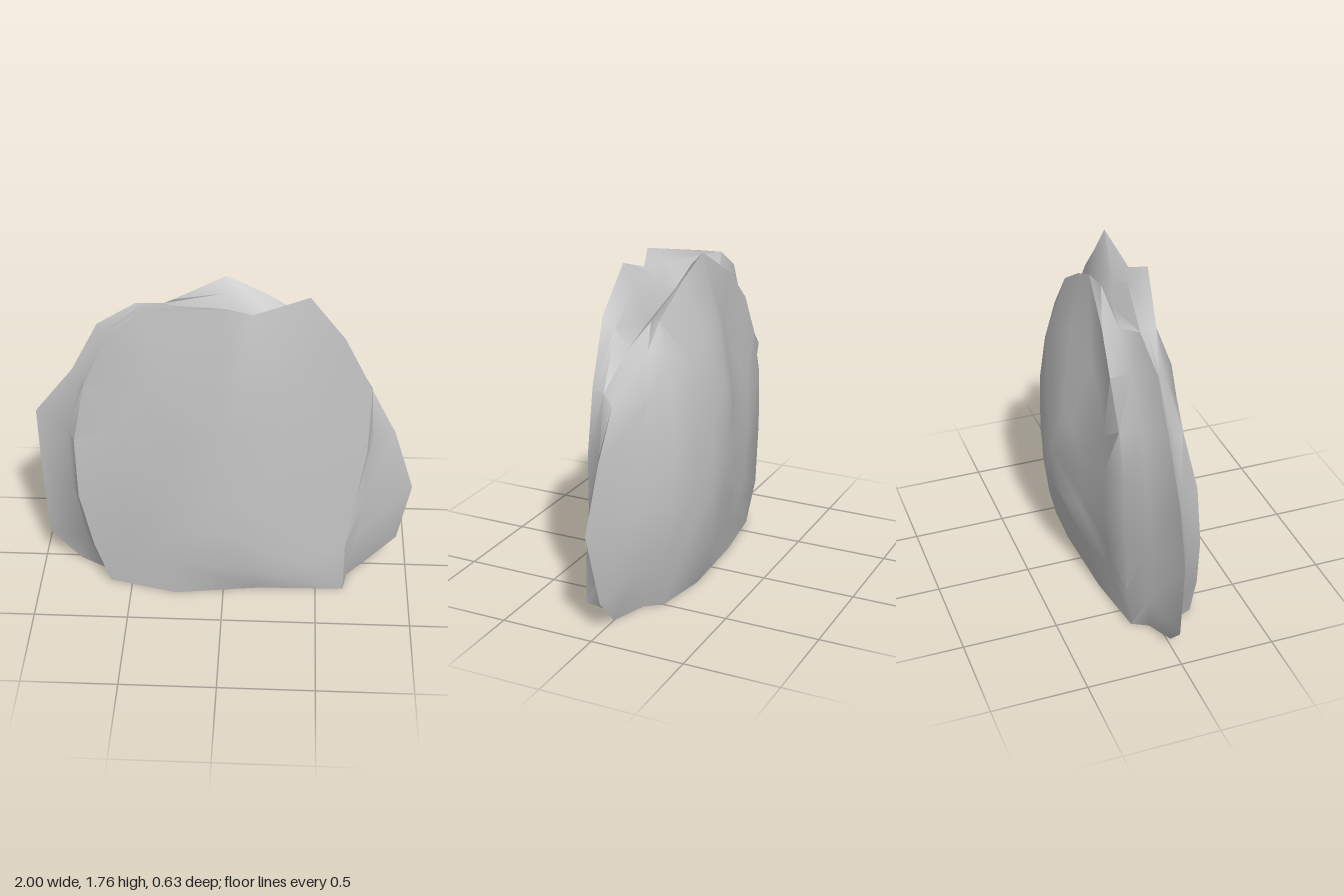
import * as THREE from 'three';
import { toCreasedNormals } from 'three/addons/utils/BufferGeometryUtils.js';

// Three outlines, clockwise from the lower -x corner: front slab, middle wing, back slab
const FRONT = [
  [-0.62, 0, 0.2], [-0.7, 0.25, 0.2], [-0.77, 0.56, 0.18], [-0.78, 0.9, 0.15], [-0.72, 1.21, 0.09], [-0.6, 1.46, 0.04],
  [-0.43, 1.63, 0.06], [0, 1.73, 0.18], [0.14, 1.67, 0.13], [0.42, 1.76, 0.1], [0.6, 1.54, 0.12], [0.75, 1.23, 0.1],
  [0.74, 0.87, 0.14], [0.69, 0.55, 0.17], [0.65, 0.3, 0.21], [0.65, 0, 0.22], [0.2, 0, 0.23], [-0.26, 0, 0.29],
];
const MIDDLE = [
  [-0.8, 0, 0.02], [-0.97, 0.17, 0], [-0.985, 0.6, 0.01], [-1, 0.96, -0.03], [-0.79, 1.24, -0.01], [-0.65, 1.51, -0.02],
  [-0.45, 1.63, -0.03], [-0.02, 1.55, -0.02], [0.14, 1.5, -0.03], [0.38, 1.46, -0.01], [0.57, 1.38, 0], [0.76, 1.15, -0.01],
  [0.89, 0.9, 0], [1, 0.56, 0.02], [0.94, 0.18, -0.02], [0.76, 0, 0], [0.2, 0, 0], [-0.26, 0, 0],
];
const BACK = [
  [-0.62, 0, -0.13], [-0.65, 0.25, -0.17], [-0.66, 0.6, -0.18], [-0.65, 0.92, -0.18], [-0.57, 1.17, -0.18], [-0.44, 1.4, -0.18],
  [-0.27, 1.58, -0.16], [0, 1.74, -0.13], [0.2, 1.65, -0.12], [0.45, 1.5, -0.11], [0.48, 1.35, -0.16], [0.51, 1.13, -0.21],
  [0.53, 0.87, -0.24], [0.55, 0.57, -0.23], [0.56, 0.25, -0.18], [0.5, 0, -0.15], [0.2, 0, -0.2], [-0.26, 0, -0.18],
];

// Depth of the two broad faces
const frontZ = (x, y) => 0.325 - 0.035 * y - 0.03 * y * y - Math.min(0.08, 0.35 * x * x);
const backZ = (x, y) => -0.32 + 0.18 * (y - 0.7) ** 2
  + Math.min(0.11, Math.max(0, -x * 0.45)) + Math.max(0, x - 0.3) * 0.35;

// Ring shrunk towards a centre and laid on a face
const inset = (ring, s, cx, cy, zAt) => ring.map(([x, y]) => {
  const px = cx + (x - cx) * s, py = cy + (y - cy) * s;
  return [px, py, zAt(px, py)];
});

// Shallow groove ring between a slab edge and the middle wing
const groove = (edge, out) => edge.map(([x, y, z], i) => {
  const [mx, my, mz] = MIDDLE[i];
  return [x + (mx - x) * out, y + (my - y) * 0.35, z * 0.45 + mz * 0.55];
});

function loft(rings, first, last) {
  const n = rings[0].length;
  const points = [...rings.flat(), first, last];
  const f = rings.length * n, l = f + 1, end = (rings.length - 1) * n;
  const index = [];
  for (let i = 0; i < n; i++) {
    const j = (i + 1) % n;
    index.push(f, j, i, l, end + i, end + j);
    for (let r = 0; r < rings.length - 1; r++) {
      const a = r * n + i, b = r * n + j;
      index.push(a, b, a + n, b, b + n, a + n);
    }
  }
  const geometry = new THREE.BufferGeometry();
  geometry.setAttribute('position', new THREE.Float32BufferAttribute(points.flat(), 3));
  geometry.setIndex(index);
  return toCreasedNormals(geometry, 0.9);
}

export function createModel() {
  const stone = new THREE.MeshStandardMaterial({ color: 0xc2c2c2 });
  stone.name = 'grey stone';

  const rings = [
    inset(FRONT, 0.35, -0.05, 0.65, frontZ),
    inset(FRONT, 0.7, -0.05, 0.65, frontZ),
    FRONT,
    groove(FRONT, 0.2),
    MIDDLE,
    groove(BACK, 0.25),
    BACK,
    inset(BACK, 0.7, 0.1, 0.7, backZ),
    inset(BACK, 0.35, 0.1, 0.7, backZ),
  ];
  const rock = new THREE.Mesh(
    loft(rings, [-0.05, 0.65, frontZ(-0.05, 0.65)], [0.1, 0.7, backZ(0.1, 0.7)]), stone);
  rock.name = 'rock';

  const model = new THREE.Group();
  model.name = 'slabRock';
  model.add(rock);
  return model;
}
